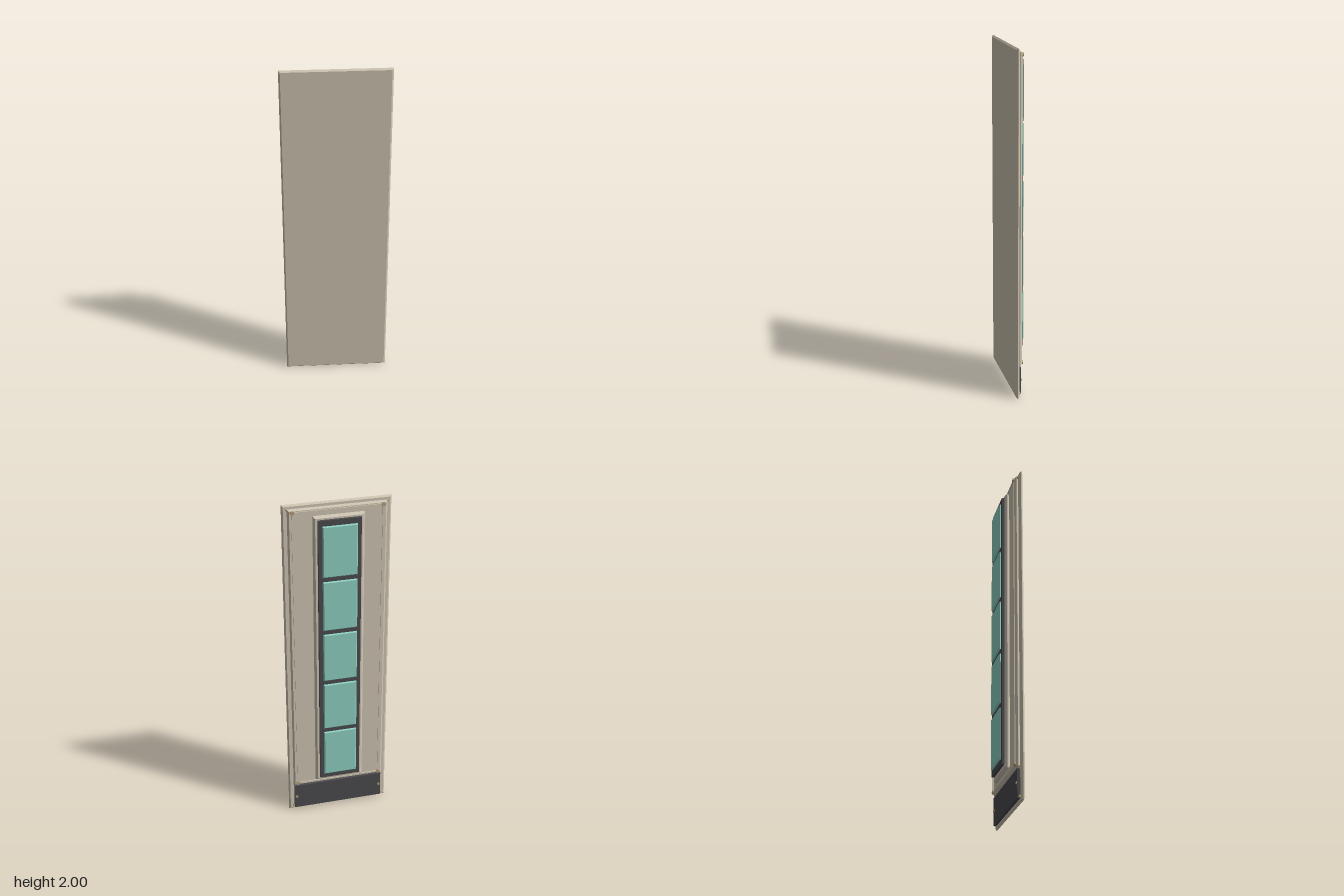
import * as THREE from 'three';

const mat = (name, color) => {
  const m = new THREE.MeshStandardMaterial({ color });
  m.name = name;
  return m;
};

export function createModel() {
  const model = new THREE.Group();
  const cream = mat('cream panel', 0xd2c8b5);
  const dark = mat('dark metal', 0x4c4b4f);
  const glass = mat('teal glass', 0x8fd3c4);
  const brass = mat('brass', 0xb9a078);

  const add = (name, geo, material) => {
    const m = new THREE.Mesh(geo, material);
    m.name = name;
    model.add(m);
    return m;
  };

  // Slab with chamfered rims, given by half width, y range and z range
  const slab = (name, hw, y0, y1, z0, z1, bevel, material) => {
    const w = hw - bevel, a = y0 + bevel, b = y1 - bevel;
    const s = new THREE.Shape();
    s.moveTo(-w, a).lineTo(w, a).lineTo(w, b).lineTo(-w, b).closePath();
    const t = Math.min(bevel, (z1 - z0) * 0.45);
    const g = new THREE.ExtrudeGeometry(s, {
      depth: z1 - z0 - 2 * t, bevelEnabled: true, bevelSize: bevel, bevelThickness: t, bevelSegments: 1,
    });
    g.translate(0, 0, z0 + t);
    add(name, g, material);
  };

  const box = (name, x, y, z, w, h, d, material) =>
    add(name, new THREE.BoxGeometry(w, h, d), material).position.set(x, y, z);

  const bolt = (name, x, y, z, r, d) => {
    const g = new THREE.CylinderGeometry(r, r, d, 8);
    g.rotateX(Math.PI / 2);
    add(name, g, brass).position.set(x, y, z);
  };

  // Stepped door body
  slab('doorSlab', 0.303, 0, 2, 0.026, 0.045, 0.009, cream);
  slab('raisedPanel', 0.275, 0.19, 1.98, 0.005, 0.027, 0.009, cream);

  // Kick plate
  box('kickPlate', 0, 0.098, 0.018, 0.54, 0.16, 0.017, dark);

  // Thin trim strips round the raised panel
  for (const y of [0.205, 1.962]) box('trimRail', 0, y, 0.003, 0.48, 0.008, 0.006, cream);
  for (const x of [-0.25, 0.25]) box('trimStile', x, 1.083, 0.003, 0.008, 1.75, 0.006, cream);

  // Bolts at the slab corners, panel corners and kick plate ends
  for (const x of [-1, 1]) {
    for (const y of [0.025, 1.972]) bolt('slabBolt', x * 0.273, y, 0.022, 0.009, 0.01);
    for (const y of [0.205, 1.962]) bolt('panelBolt', x * 0.25, y, 0.001, 0.012, 0.009);
    bolt('kickBolt', x * 0.258, 0.1, 0.008, 0.008, 0.008);
  }

  // Window surround, dark frame and five panes
  slab('windowSurround', 0.143, 0.222, 1.938, -0.022, 0.006, 0.011, cream);
  box('windowFrame', 0, 1.083, -0.029, 0.24, 1.67, 0.015, dark);
  for (let i = 0; i < 5; i++) {
    const y = 0.429 + i * 0.327;
    slab('windowPane', 0.098, y - 0.151, y + 0.151, -0.048, -0.035, 0.006, glass);
  }
  return model;
}
